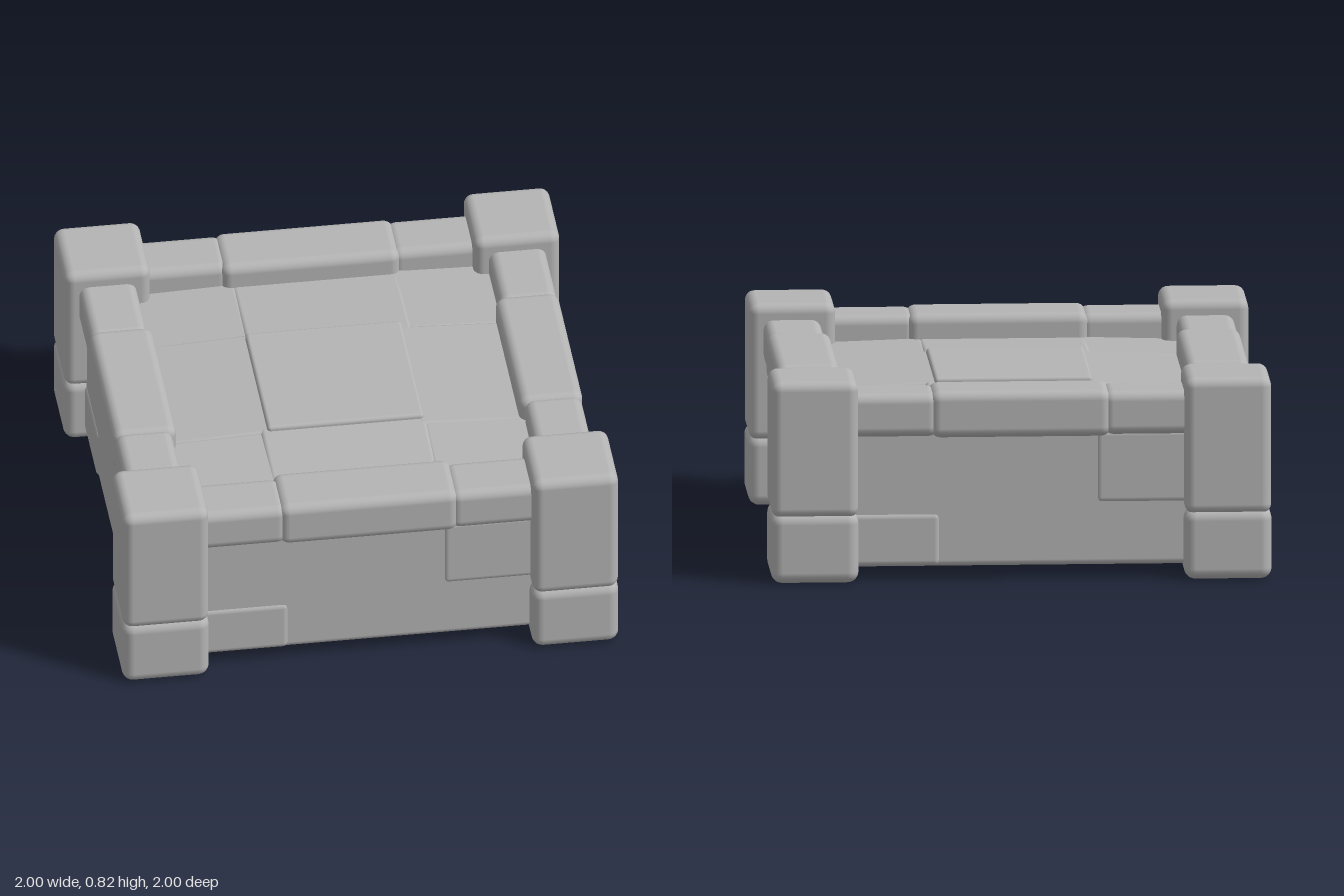
import * as THREE from 'three';
import { RoundedBoxGeometry } from 'three/addons/geometries/RoundedBoxGeometry.js';

const stone = new THREE.MeshStandardMaterial({ color: 0xb4b4b4 });
stone.name = 'grey stone';

// Rounded block spanning [min, max] on each axis
function block(name, [x0, x1], [y0, y1], [z0, z1], radius) {
  const geo = new RoundedBoxGeometry(x1 - x0, y1 - y0, z1 - z0, 3, radius);
  const mesh = new THREE.Mesh(geo, stone);
  mesh.name = name;
  mesh.position.set((x0 + x1) / 2, (y0 + y1) / 2, (z0 + z1) / 2);
  return mesh;
}

// Corner post: a foot stone and a tall stone meeting at a shallow notch
function cornerPost() {
  const post = new THREE.Group();
  post.name = 'cornerPost';
  post.add(
    block('postFoot', [-0.175, 0.175], [0, 0.285], [-0.175, 0.175], 0.045),
    block('postShaft', [-0.173, 0.173], [0.265, 0.82], [-0.173, 0.173], 0.04)
  );
  return post;
}

// One side, facing +z: wall, bottom rim and a rail of three stones
function side() {
  const group = new THREE.Group();
  group.name = 'side';
  group.add(
    block('wall', [-0.8, 0.8], [0.05, 0.64], [0.72, 0.91], 0.025),
    block('wallStoneLow', [-0.8, -0.32], [0.052, 0.27], [0.75, 0.918], 0.025),
    block('wallStoneHigh', [0.3, 0.8], [0.3, 0.6], [0.75, 0.916], 0.025),
    block('railLeft', [-0.8, -0.33], [0.58, 0.756], [0.71, 0.94], 0.04),
    block('railMiddle', [-0.36, 0.36], [0.575, 0.765], [0.69, 0.946], 0.04),
    block('railRight', [0.33, 0.8], [0.58, 0.758], [0.71, 0.94], 0.04)
  );
  return group;
}

export function createModel() {
  const model = new THREE.Group();
  model.name = 'stonePlatform';

  for (const x of [-1, 1]) {
    for (const z of [-1, 1]) {
      const post = cornerPost();
      post.position.set(x * 0.825, 0, z * 0.825);
      model.add(post);
    }
  }

  for (let i = 0; i < 4; i++) {
    const s = side();
    s.rotation.y = (i * Math.PI) / 2;
    model.add(s);
  }

  // Core, open at the rim below
  model.add(block('core', [-0.76, 0.76], [0.1, 0.645], [-0.76, 0.76], 0.02));
  model.add(block('undersideSlab', [-0.31, 0.31], [0.085, 0.2], [-0.31, 0.31], 0.012));

  // Paving: a centre slab ringed by overlapping stones, tilted down to the rails
  model.add(block('centreSlab', [-0.32, 0.31], [0.6, 0.705], [-0.33, 0.315], 0.015));
  for (let i = 0; i < 4; i++) {
    const ring = new THREE.Group();
    ring.name = 'pavingRow';
    const long = block('pavingLong', [-0.35, 0.32], [0.55, 0.675], [0.28, 0.73], 0.02);
    const corner = block('pavingCorner', [0.3, 0.73], [0.55, 0.665], [0.3, 0.73], 0.02);
    long.rotation.x = 0.05;
    corner.rotation.set(0.03, 0, -0.03);
    ring.add(long, corner);
    ring.rotation.y = (i * Math.PI) / 2;
    model.add(ring);
  }

  return model;
}
